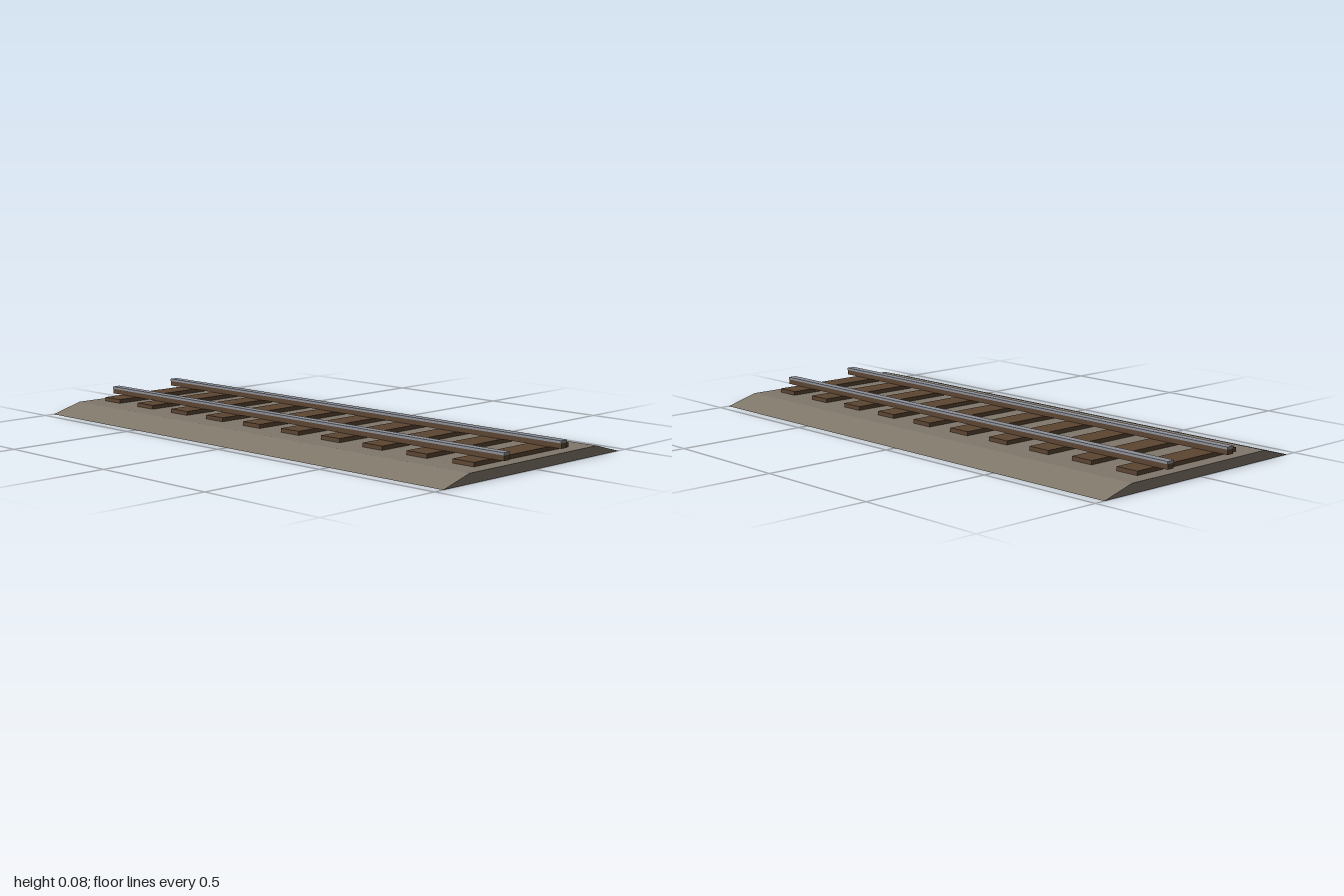
import * as THREE from 'three';

const material = (name, color, side = THREE.FrontSide) => {
  const m = new THREE.MeshStandardMaterial({ color, side });
  m.name = name;
  return m;
};

export function createModel() {
  const gravel = material('gravel', 0x80776b, THREE.DoubleSide);
  const wood = material('brown', 0x5c4532);
  const steel = material('steel', 0x8d9098);

  const group = new THREE.Group();
  group.name = 'railwayTrack';

  const add = (name, geometry, mat, x = 0, y = 0, z = 0, parent = group) => {
    const mesh = new THREE.Mesh(geometry, mat);
    mesh.name = name;
    mesh.position.set(x, y, z);
    parent.add(mesh);
    return mesh;
  };

  // Gravel bed: a hollow shell, open underneath
  const foot = 0.46, shoulder = 0.334, bedTop = 0.035, length = 2;
  const section = [[-foot, 0], [-shoulder, bedTop], [shoulder, bedTop], [foot, 0]];
  const bed = new THREE.Group();
  bed.name = 'gravelBed';
  group.add(bed);

  // Top and two sloping sides, one flat strip per section edge
  const strips = [];
  for (let i = 0; i < 3; i++) {
    const [ax, ay] = section[i], [bx, by] = section[i + 1], h = length / 2;
    strips.push(ax, ay, h, bx, by, h, bx, by, -h, ax, ay, h, bx, by, -h, ax, ay, -h);
  }
  const shell = new THREE.BufferGeometry();
  shell.setAttribute('position', new THREE.Float32BufferAttribute(strips, 3));
  shell.computeVertexNormals();
  add('bedSurface', shell, gravel, 0, 0, 0, bed);

  // Closed ends
  const endShape = new THREE.Shape(section.map(([x, y]) => new THREE.Vector2(x, y)));
  const endGeometry = new THREE.ShapeGeometry(endShape);
  add('frontEnd', endGeometry, gravel, 0, 0, length / 2, bed);
  add('backEnd', endGeometry, gravel, 0, 0, -length / 2, bed).rotation.y = Math.PI;

  // Ten evenly spaced sleepers resting on the bed
  const sleeperTop = 0.05, sleeperBase = bedTop + 0.0003;
  const sleeper = new THREE.BoxGeometry(0.497, sleeperTop - sleeperBase, 0.09);
  for (let i = 0; i < 10; i++) {
    add('sleeper', sleeper, wood, 0, (sleeperTop + sleeperBase) / 2, -0.9 + i * 0.2);
  }

  // Two rails: brown web with a slightly wider steel head
  const webTop = 0.0685, railTop = 0.0775;
  const web = new THREE.BoxGeometry(0.028, webTop - sleeperTop, length);
  const head = new THREE.BoxGeometry(0.032, railTop - webTop, length);
  for (const side of [1, -1]) {
    const rail = new THREE.Group();
    rail.name = side > 0 ? 'leftRail' : 'rightRail';
    rail.position.x = side * 0.15;
    group.add(rail);
    add('railWeb', web, wood, 0, (webTop + sleeperTop) / 2, 0, rail);
    add('railHead', head, steel, 0, (railTop + webTop) / 2, 0, rail);
  }
  return group;
}
